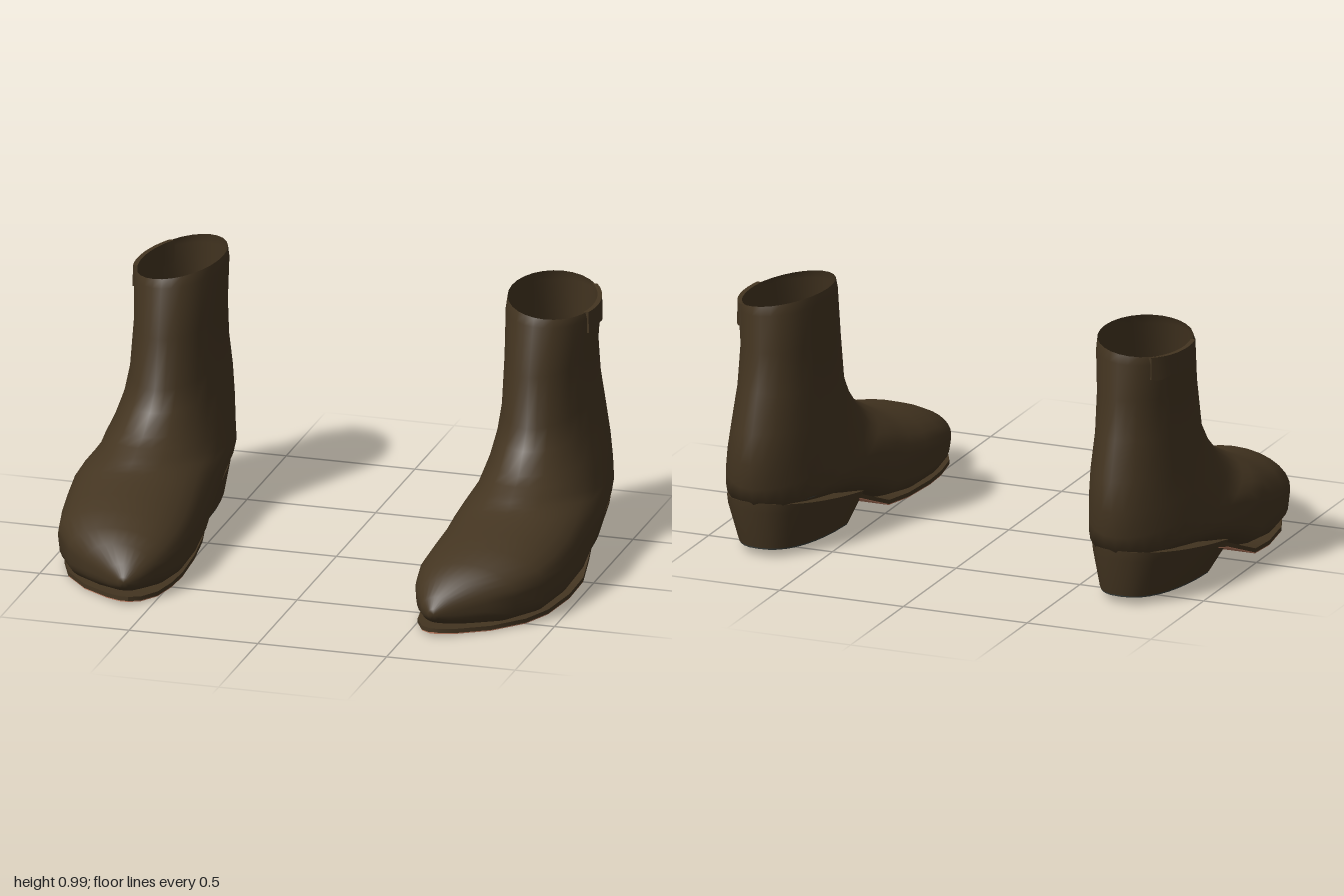
import * as THREE from 'three';
import { toCreasedNormals } from 'three/addons/utils/BufferGeometryUtils.js';

const mat = (name, color, side = THREE.FrontSide) => {
  const m = new THREE.MeshStandardMaterial({ color, side });
  m.name = name;
  return m;
};

// Skins a list of closed rings of [x, y, z]; side -1 mirrors the result in x.
function loft(rings, side, { capStart = true, crease = 0 } = {}) {
  const n = rings[0].length, pos = [], idx = [];
  for (const r of rings) {
    const pts = side < 0 ? [...r].reverse() : r;
    for (const [x, y, z] of pts) pos.push(x * side, y, z);
  }
  for (let i = 0; i < rings.length - 1; i++) {
    for (let j = 0; j < n; j++) {
      const k = (j + 1) % n;
      const a = i * n + j, b = i * n + k, c = a + n, d = b + n;
      idx.push(a, c, b, b, c, d);
    }
  }
  const cap = (ring, flip) => {
    const mid = [0, 0, 0];
    for (let j = 0; j < n; j++) for (let k = 0; k < 3; k++) mid[k] += pos[(ring * n + j) * 3 + k] / n;
    const m = pos.length / 3;
    pos.push(...mid);
    for (let j = 0; j < n; j++) {
      const a = ring * n + j, b = ring * n + (j + 1) % n;
      idx.push(m, flip ? b : a, flip ? a : b);
    }
  };
  if (capStart) cap(0, false);
  cap(rings.length - 1, true);
  const g = new THREE.BufferGeometry();
  g.setAttribute('position', new THREE.Float32BufferAttribute(pos, 3));
  g.setIndex(idx);
  g.computeVertexNormals();
  return crease ? toCreasedNormals(g, crease) : g;
}

// Upper sections, fanning from the rim round the ankle to the toe:
// instep y, z, heel/sole y, z, inner x, outer x, squareness of the lower half, sideways tilt
const SECTIONS = [
  [0.968, -0.15, 0.975, -0.65, 0.56, 0.885, 2, 0.14],
  [0.935, -0.135, 0.94, -0.66, 0.555, 0.89, 2, 0.08],
  [0.75, -0.09, 0.8, -0.67, 0.56, 0.88, 2, 0],
  [0.56, -0.055, 0.65, -0.69, 0.555, 0.89, 2, 0],
  [0.49, 0.0, 0.5, -0.735, 0.545, 0.905, 2, 0],
  [0.42, 0.075, 0.38, -0.74, 0.53, 0.93, 2, 0],
  [0.395, 0.13, 0.28, -0.725, 0.517, 0.95, 2, 0],
  [0.375, 0.17, 0.205, -0.70, 0.507, 0.96, 2.1, 0],
  [0.36, 0.20, 0.185, -0.55, 0.50, 0.97, 2.8, 0],
  [0.347, 0.22, 0.165, -0.35, 0.495, 0.982, 3.8, 0],
  [0.335, 0.25, 0.115, -0.15, 0.485, 0.993, 4.5, 0],
  [0.32, 0.30, 0.045, 0.03, 0.475, 0.99, 5, 0],
  [0.30, 0.38, 0.016, 0.22, 0.465, 0.975, 5, 0],
  [0.275, 0.48, 0.014, 0.42, 0.462, 0.945, 5, 0],
  [0.24, 0.575, 0.018, 0.56, 0.48, 0.87, 4, 0],
  [0.205, 0.645, 0.03, 0.645, 0.508, 0.78, 3, 0],
  [0.15, 0.71, 0.043, 0.70, 0.545, 0.68, 2.5, 0],
  [0.11, 0.74, 0.065, 0.735, 0.58, 0.625, 2, 0],
];

function section([ay, az, by, bz, xi, xo, p, tilt]) {
  const pts = [], n = 28, c = (xi + xo) / 2, hw = (xo - xi) / 2;
  for (let j = 0; j < n; j++) {
    const t = (j / n) * Math.PI * 2, co = Math.cos(t), si = Math.sin(t);
    const e = 2 / (co < 0 ? p : 2);
    const v = (1 - Math.sign(co) * Math.abs(co) ** e) / 2;
    const dx = hw * Math.sign(si) * Math.abs(si) ** e;
    pts.push([c + dx, ay + (by - ay) * v - dx * tilt, az + (bz - az) * v]);
  }
  return pts;
}

// Sole stations: z, underside y, inner x, outer x
const SOLE = [
  [0.735, 0.016, 0.585, 0.62], [0.70, 0.011, 0.545, 0.68], [0.62, 0.007, 0.505, 0.79],
  [0.5, 0.005, 0.485, 0.89], [0.38, 0.005, 0.48, 0.94], [0.2, 0.008, 0.49, 0.968],
  [0.05, 0.022, 0.505, 0.975], [-0.05, 0.062, 0.52, 0.965], [-0.15, 0.102, 0.53, 0.95],
  [-0.26, 0.13, 0.54, 0.94],
];

const solePlate = (inset, lift, thick) => SOLE.map(([z, y, xi, xo]) => [
  [xo - inset, y + lift + thick, z], [xi + inset, y + lift + thick, z],
  [xi + inset, y + lift, z], [xo - inset, y + lift, z],
]);

// D-shaped outline, straight at the front and round at the back
function heelRing(zf, zb, xi, xo, yf, yb) {
  const pts = [], n = 18;
  for (let k = 0; k <= n; k++) {
    const a = (k / n) * Math.PI, co = Math.cos(a), s = Math.sin(a) ** 0.85;
    const x = (xi + xo) / 2 + ((xo - xi) / 2) * Math.sign(co) * Math.abs(co) ** 0.8;
    pts.push([x, yf + (yb - yf) * s, zf + (zb - zf) * s]);
  }
  return pts;
}

// Loop strap hugging the outer side of the rim, with a wavy lower edge
function strapRings() {
  const rings = [], n = 14;
  for (let i = 0; i <= n; i++) {
    const z = -0.31 - (0.29 * i) / n;
    const x = 0.721 + 0.167 * Math.sqrt(1 - ((z + 0.395) / 0.262) ** 2);
    const top = 0.974 - 0.14 * (x - 0.72);
    const low = 0.87 + 0.005 * Math.sin(i * 1.4);
    rings.push([[x + 0.006, top, z], [x - 0.012, top, z], [x - 0.012, low, z], [x + 0.008, low, z]]);
  }
  return rings;
}

export function createModel() {
  const leather = mat('brown leather', 0x443521, THREE.DoubleSide);
  const outsole = mat('reddish sole', 0xc08064);
  const rubber = mat('dark grey rubber', 0x3b403d);

  const model = new THREE.Group();
  model.name = 'pairOfBoots';
  for (const side of [1, -1]) {
    const boot = new THREE.Group();
    boot.name = side > 0 ? 'leftBoot' : 'rightBoot';
    const add = (name, material, rings, opts = { crease: 0.7 }) => {
      const mesh = new THREE.Mesh(loft(rings, side, opts), material);
      mesh.name = name;
      boot.add(mesh);
    };

    add('upper', leather, SECTIONS.map(section), { capStart: false });
    add('strap', leather, strapRings());
    add('insole', rubber, [
      heelRing(-0.25, -0.67, 0.53, 0.92, 0.222, 0.222),
      heelRing(-0.25, -0.67, 0.53, 0.92, 0.216, 0.216),
    ]);

    // Welt with the coloured walking surface just below it
    add('welt', leather, solePlate(0, 0, 0.016));
    add('outsole', outsole, solePlate(0.002, -0.004, 0.006));

    // Heel: overhanging rim, tapered block and rubber tip
    add('heelBlock', leather, [
      heelRing(-0.145, -0.705, 0.525, 0.95, 0.13, 0.225),
      heelRing(-0.15, -0.70, 0.53, 0.945, 0.115, 0.185),
      heelRing(-0.215, -0.66, 0.56, 0.90, 0.02, 0.036),
    ]);
    add('heelTip', rubber, [
      heelRing(-0.216, -0.659, 0.561, 0.899, 0.021, 0.037),
      heelRing(-0.217, -0.657, 0.563, 0.897, 0.014, 0.03),
    ]);
    model.add(boot);
  }
  return model;
}
